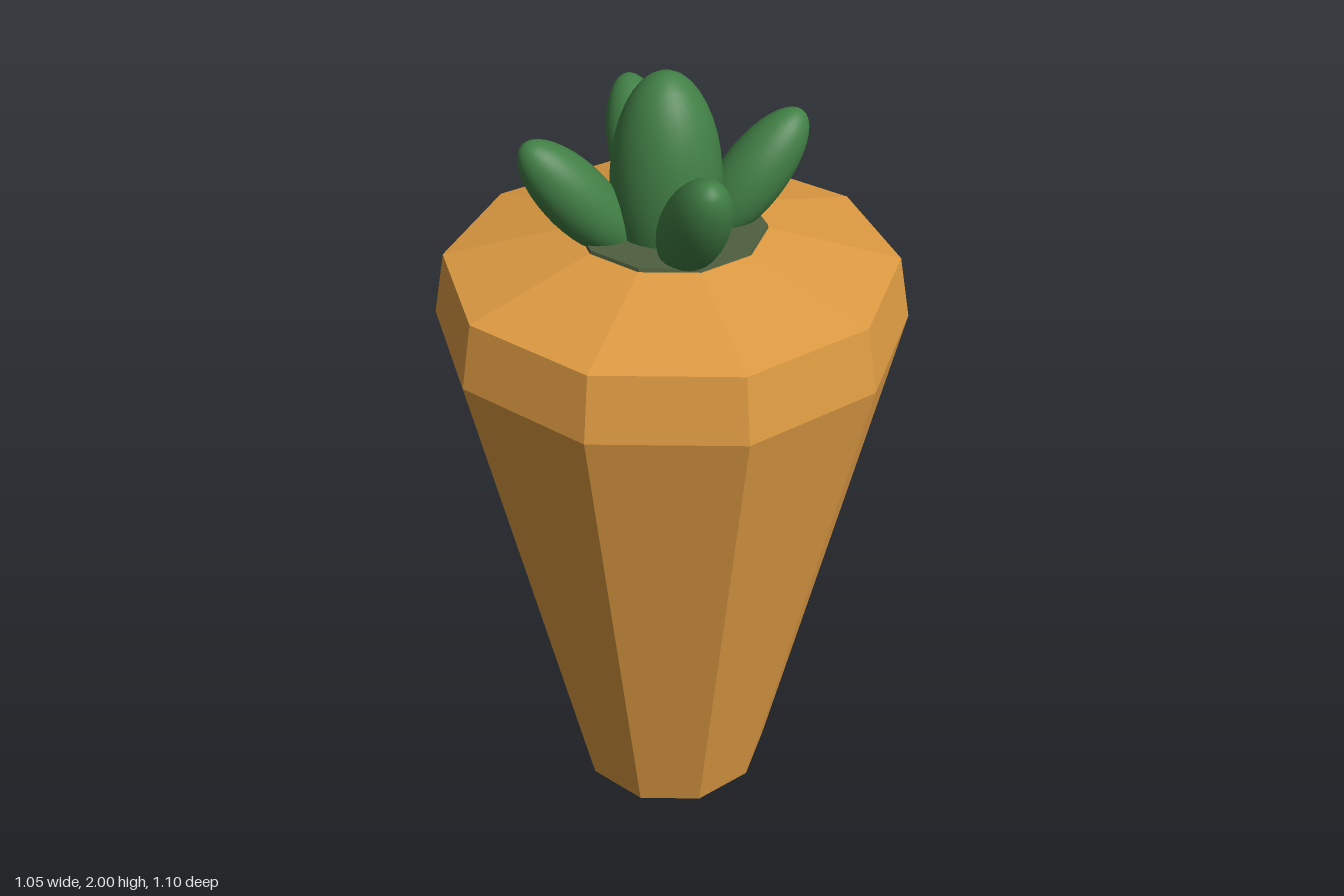
import * as THREE from 'three';

const SIDES = 10;

export function createModel() {
  const model = new THREE.Group();
  const orange = new THREE.MeshStandardMaterial({ color: 0xdd9a42, flatShading: true });
  const darkGreen = new THREE.MeshStandardMaterial({ color: 0x4f5f3f, flatShading: true });
  const green = new THREE.MeshStandardMaterial({ color: 0x417f45 });

  const add = (parent, name, geometry, material) => {
    const mesh = new THREE.Mesh(geometry, material);
    mesh.name = name;
    parent.add(mesh);
    return mesh;
  };

  // Faceted tapering root with a bevelled shoulder
  const profile = [
    [0, 0], [0.17, 0], [0.26, 0.015], [0.55, 1.41], [0.52, 1.56], [0.22, 1.635], [0, 1.635],
  ].map(([r, y]) => new THREE.Vector2(r, y));
  add(model, 'root', new THREE.LatheGeometry(profile, SIDES), orange);

  // Thin crown disc under the leaves
  add(model, 'crownDisc', new THREE.CylinderGeometry(0.215, 0.22, 0.02, SIDES), darkGreen)
    .position.y = 1.633;

  // Leaves: one upright, four leaning outwards
  const leaves = new THREE.Group();
  leaves.name = 'leaves';
  leaves.position.set(-0.012, 0, 0);
  model.add(leaves);

  const leaf = new THREE.SphereGeometry(1, 32, 20);
  const centre = add(leaves, 'centreLeaf', leaf, green);
  centre.scale.set(0.125, 0.26, 0.125);
  centre.position.y = 1.74;

  ['leftLeaf', 'backLeaf', 'rightLeaf', 'frontLeaf'].forEach((name, i) => {
    const pivot = new THREE.Group();
    pivot.rotation.y = (i * Math.PI) / 2;
    leaves.add(pivot);
    const mesh = add(pivot, name, leaf, green);
    mesh.scale.set(0.075, 0.18, 0.075);
    mesh.position.set(0.2, 1.735, 0);
    mesh.rotation.z = -0.68;
  });

  return model;
}
